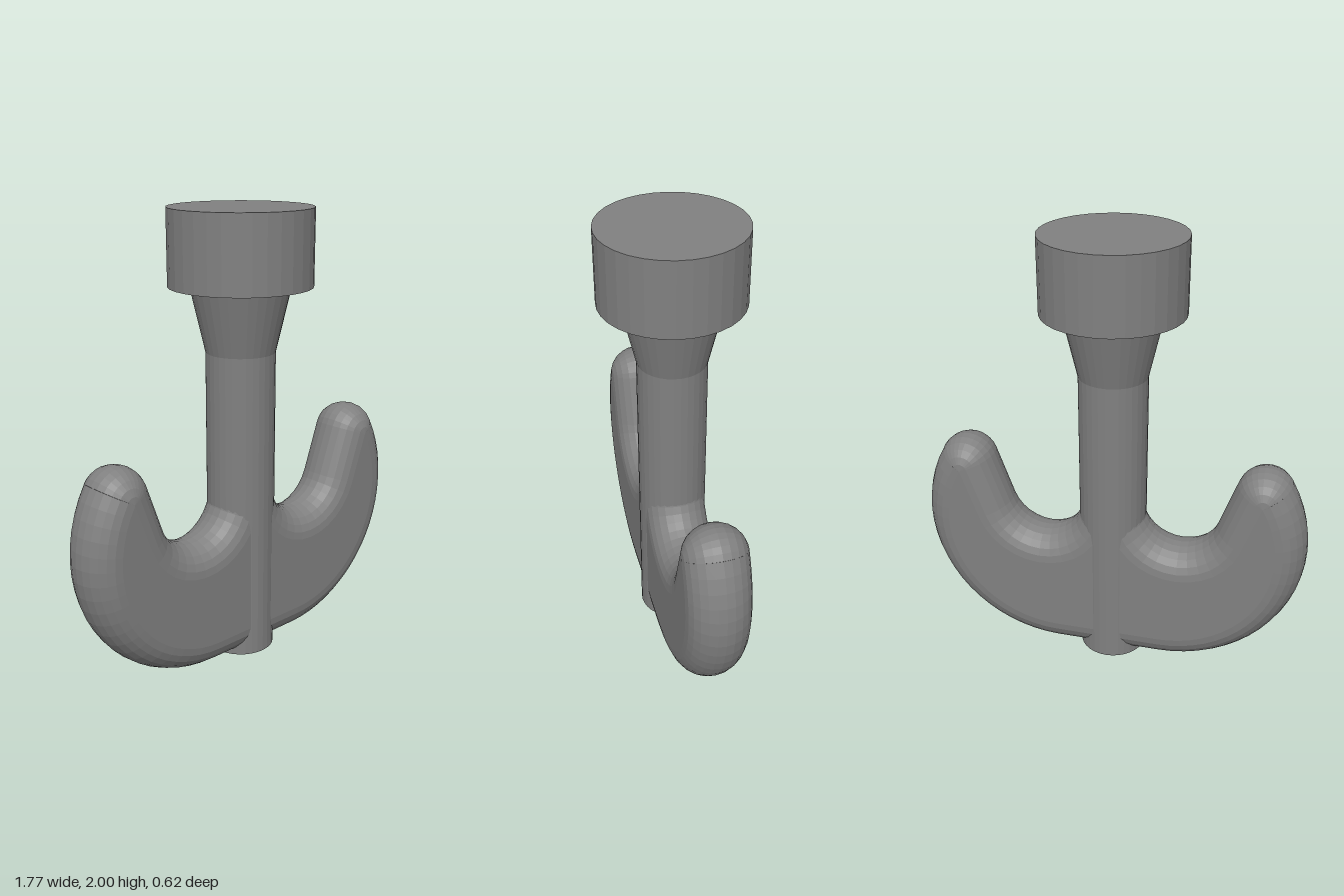
import * as THREE from 'three';

const material = new THREE.MeshStandardMaterial({ color: 0x808080, flatShading: true });
const ROUND = 0.13; // edge rounding of the hook, also the radius of its tip
const HALF = 0.138; // half thickness of the hook

// Outline of one hook: points with their outward normal angles
function hookOutline() {
  const pts = [{ x: 0, y: 0, a: -Math.PI / 2 }];
  const arc = (cx, cy, r, from, to, steps) => {
    for (let i = 0; i <= steps; i++) {
      const a = THREE.MathUtils.degToRad(from + ((to - from) * i) / steps);
      // a negative radius gives a concave arc whose normal faces its centre
      pts.push({ x: cx + r * Math.cos(a), y: cy + r * Math.sin(a), a });
    }
  };
  arc(0.243, 0.64, 0.64, -90, 30.5, 20); // outer belly
  arc(0.683, 0.9, ROUND, 30.5, 160.2, 10); // tip
  arc(0.315, 0.775, -0.175, 160.2, 0, 14); // throat
  return pts;
}

// Rounded edge swept round the outline, closed by two flat cheeks
function hookGeometry() {
  const outline = hookOutline();
  const steps = 12;
  const position = [], index = [];
  for (const p of outline) {
    for (let j = 0; j <= steps; j++) {
      const t = Math.PI * (j / steps - 0.5);
      const inset = ROUND * (1 - Math.cos(t));
      position.push(p.x - Math.cos(p.a) * inset, p.y - Math.sin(p.a) * inset, HALF * Math.sin(t));
    }
  }
  const row = steps + 1;
  for (let i = 0; i < outline.length - 1; i++) {
    for (let j = 0; j < steps; j++) {
      const a = i * row + j, b = a + row;
      index.push(a, b, b + 1, a, b + 1, a + 1);
    }
  }
  // Flat cheeks share the last rings of the rounded edge
  const inner = outline.map(
    (p) => new THREE.Vector2(p.x - Math.cos(p.a) * ROUND, p.y - Math.sin(p.a) * ROUND)
  );
  for (const [a, b, c] of THREE.ShapeUtils.triangulateShape(inner, [])) {
    index.push(a * row + steps, b * row + steps, c * row + steps);
    index.push(a * row, c * row, b * row);
  }
  const geometry = new THREE.BufferGeometry();
  geometry.setAttribute('position', new THREE.Float32BufferAttribute(position, 3));
  geometry.setIndex(index);
  geometry.computeVertexNormals();
  return geometry;
}

export function createModel() {
  const group = new THREE.Group();
  const add = (name, geometry) => {
    const mesh = new THREE.Mesh(geometry, material);
    mesh.name = name;
    group.add(mesh);
    return mesh;
  };
  const round = (name, rTop, rBottom, y0, y1) => {
    add(name, new THREE.CylinderGeometry(rTop, rBottom, y1 - y0, 32)).position.y = (y0 + y1) / 2;
  };

  // Central shank, flared neck and head
  round('shank', 0.152, 0.152, 0, 1.39);
  round('neck', 0.217, 0.152, 1.39, 1.672);
  round('head', 0.31, 0.31, 1.672, 2);

  // Two hooks, one turned half round
  const hook = hookGeometry();
  add('leftHook', hook);
  add('rightHook', hook).rotation.y = Math.PI;

  return group;
}
